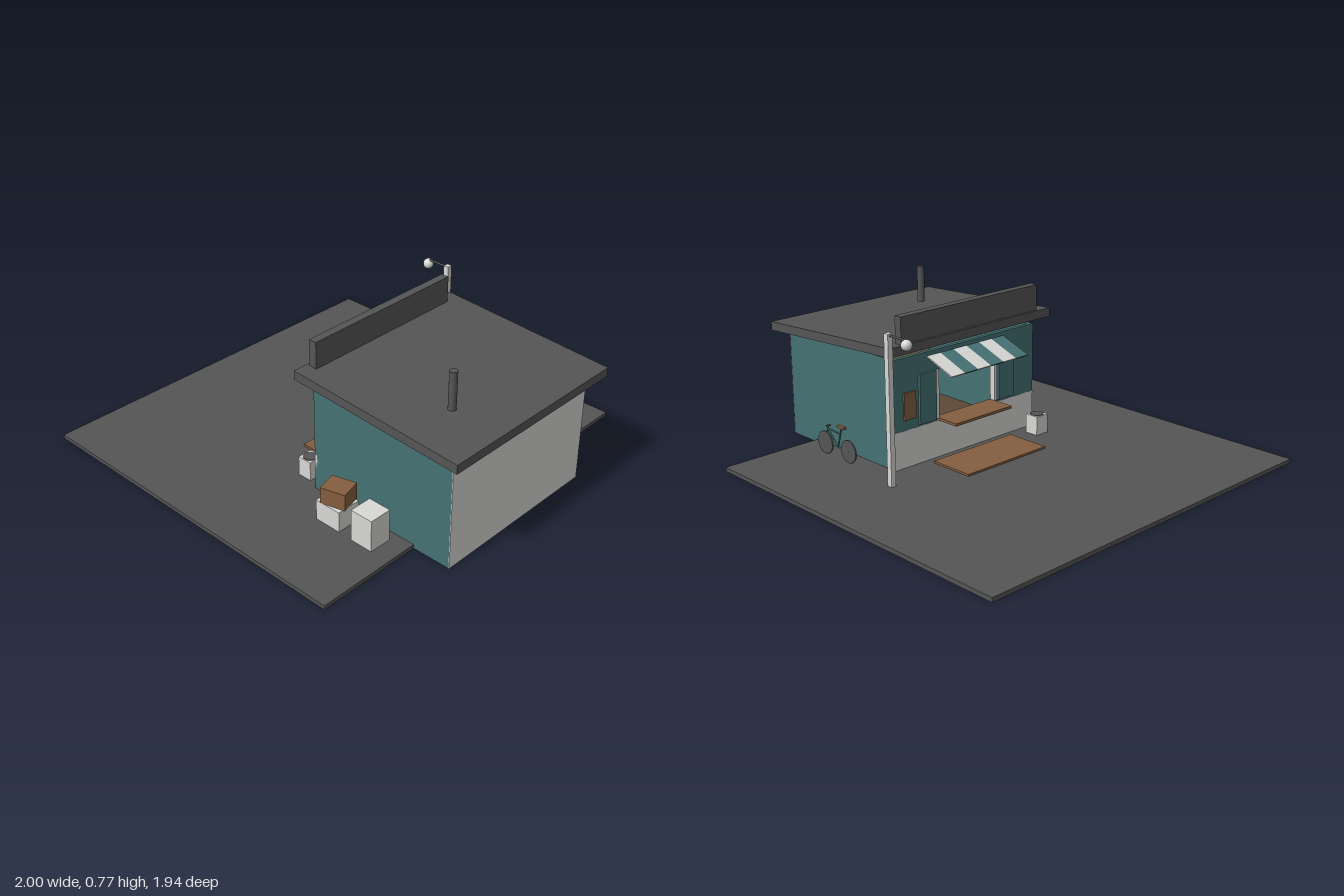
import * as THREE from 'three';

const mat = (name, color) => {
  const m = new THREE.MeshStandardMaterial({ color });
  m.name = name;
  return m;
};

export function createModel() {
  const root = new THREE.Group();
  root.name = 'kiosk';
  const dark = mat('asphalt grey', 0x555555);
  const teal = mat('teal paint', 0x467174);
  const white = mat('off white', 0xd8d8d5);
  const wood = mat('wood', 0x845f40);
  const beige = mat('beige interior', 0xa39274);
  const floorMat = mat('dark floor', 0x5c4a36);

  const add = (name, geo, m, parent = root) => {
    const mesh = new THREE.Mesh(geo, m);
    mesh.name = name;
    parent.add(mesh);
    return mesh;
  };
  // box from its lower and upper limits
  const box = (name, m, x0, x1, y0, y1, z0, z1, parent = root) => {
    const mesh = add(name, new THREE.BoxGeometry(x1 - x0, y1 - y0, z1 - z0), m, parent);
    mesh.position.set((x0 + x1) / 2, (y0 + y1) / 2, (z0 + z1) / 2);
    return mesh;
  };
  // round bar between two points
  const bar = (name, m, a, b, r, parent = root) => {
    const p = new THREE.Vector3(...a), d = new THREE.Vector3(...b).sub(p);
    const mesh = add(name, new THREE.CylinderGeometry(r, r, d.length(), 8), m, parent);
    mesh.position.copy(p).addScaledVector(d, 0.5);
    mesh.quaternion.setFromUnitVectors(new THREE.Vector3(0, 1, 0), d.normalize());
    return mesh;
  };

  // Ground
  box('ground', dark, -1, 0.745, 0, 0.02, -0.97, 0.97);
  box('doorDeck', wood, -0.11, 0.12, 0.02, 0.03, -0.25, 0.25);

  // Hollow hut with a serving opening towards -x
  const hut = new THREE.Group();
  hut.name = 'hut';
  root.add(hut);
  const H = 0.545, t = 0.02;
  box('floor', floorMat, 0.185, 0.915, 0.003, 0.026, -0.425, 0.425, hut);
  for (const s of [-1, 1]) {
    const z = s * 0.435;
    box('sideWall', teal, 0.165, 0.935, 0.001, H, z - t / 2, z + t / 2, hut);
    // wall beside the opening, window post and shutter
    const [a, b] = s < 0 ? [-0.425, -0.19] : [0.19, 0.425];
    box('servingWallSide', teal, 0.165, 0.185, 0.2, H, a, b, hut);
    box('windowPost', white, 0.16, 0.188, 0.212, 0.45, s * 0.185 - 0.008, s * 0.185 + 0.008, hut);
    box('shutter', teal, 0.152, 0.165, 0.212, 0.45, s * 0.25 - 0.05, s * 0.25 + 0.05, hut);
  }
  box('rearWall', teal, 0.915, 0.935, 0.001, H, -0.425, 0.425, hut);
  box('rearPanel', white, 0.934, 0.938, 0.001, H, -0.445, 0.445, hut);
  box('innerPanel', beige, 0.908, 0.914, 0.03, H, -0.42, 0.42, hut);
  box('servingWallBase', white, 0.164, 0.185, 0.001, 0.2, -0.445, 0.445, hut);
  box('servingWallTop', teal, 0.165, 0.185, 0.45, H, -0.19, 0.19, hut);
  box('counter', wood, 0.045, 0.19, 0.2, 0.213, -0.18, 0.18, hut);
  box('menuBoard', wood, 0.157, 0.165, 0.25, 0.38, -0.39, -0.32, hut);

  // Sloping roof, fascia board and flue
  const roofShape = new THREE.Shape([
    [0.108, 0.582], [1, 0.53], [1, 0.573], [0.108, 0.625],
  ].map(([x, y]) => new THREE.Vector2(x, y)));
  const roofGeo = new THREE.ExtrudeGeometry(roofShape, { depth: 1.01, bevelEnabled: false });
  add('roof', roofGeo, dark).position.z = -0.508;
  box('fasciaBoard', dark, 0.123, 0.163, 0.6, 0.75, -0.43, 0.425);
  const flue = add('flue', new THREE.CylinderGeometry(0.018, 0.018, 0.18, 20), dark);
  flue.position.set(0.745, 0.68, 0.23);

  // Striped awning
  const awning = new THREE.Group();
  awning.name = 'awning';
  awning.position.set(0.0825, 0.492, 0);
  awning.rotation.z = Math.atan2(0.06, 0.165);
  root.add(awning);
  for (let i = 0; i < 6; i++) {
    const z = -0.245 + i * 0.081;
    box('awningStripe', i % 2 ? teal : white, -0.088, 0.088, -0.003, 0.003, z, z + 0.081, awning);
  }

  // Street lamp
  box('lampPole', white, 0.033, 0.06, 0.02, 0.72, -0.578, -0.552);
  bar('lampArm', dark, [0.035, 0.712, -0.565], [-0.075, 0.712, -0.565], 0.005);
  const globe = add('lampGlobe', new THREE.SphereGeometry(0.025, 20, 14), white);
  globe.position.set(-0.073, 0.692, -0.565);

  // Bicycle leaning by the side wall
  const bike = new THREE.Group();
  bike.name = 'bicycle';
  bike.position.z = -0.53;
  root.add(bike);
  for (const x of [0.395, 0.57]) {
    const wheel = add('wheel', new THREE.CylinderGeometry(0.055, 0.055, 0.007, 24), dark, bike);
    wheel.rotation.x = Math.PI / 2;
    wheel.position.set(x, 0.075, 0);
  }
  const seat = [0.445, 0.175, 0], crank = [0.475, 0.075, 0], head = [0.55, 0.15, 0];
  bar('seatTube', teal, crank, seat, 0.004, bike);
  bar('topTube', teal, [0.452, 0.145, 0], head, 0.004, bike);
  bar('downTube', teal, crank, head, 0.004, bike);
  bar('chainStay', teal, crank, [0.395, 0.075, 0], 0.004, bike);
  bar('fork', teal, [0.57, 0.075, 0], [0.545, 0.165, 0], 0.004, bike);
  bar('handlebar', dark, [0.545, 0.165, -0.012], [0.545, 0.165, 0.012], 0.004, bike);
  box('saddle', wood, 0.42, 0.468, 0.175, 0.187, -0.009, 0.009, bike);

  // Crates along the +z wall
  box('lowCrate', white, 0.327, 0.462, 0.02, 0.12, 0.48, 0.6);
  const crate = box('woodCrate', wood, 0.34, 0.46, 0.12, 0.2, 0.485, 0.59);
  crate.rotation.y = 0.26;
  box('tallCrate', white, 0.535, 0.65, 0.02, 0.175, 0.49, 0.602);

  // Planter by the serving side
  box('planter', white, 0.037, 0.11, 0.02, 0.115, 0.347, 0.423);
  const soil = add('planterTop', new THREE.CylinderGeometry(0.033, 0.033, 0.006, 24), dark);
  soil.position.set(0.0735, 0.115, 0.385);

  return root;
}
